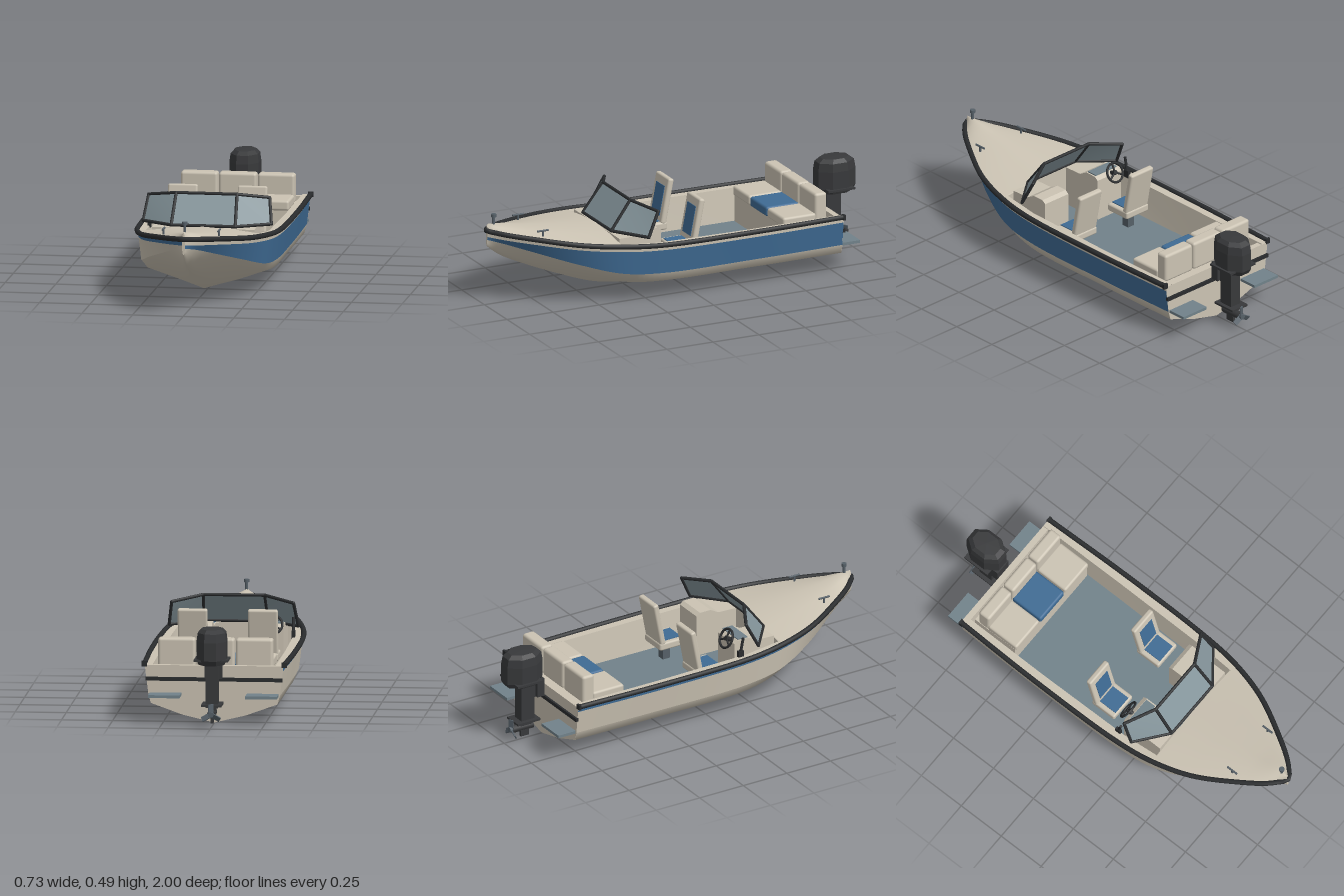
import * as THREE from 'three';
import { RoundedBoxGeometry } from 'three/addons/geometries/RoundedBoxGeometry.js';

const mat = (name, color, side = THREE.FrontSide) => {
  const m = new THREE.MeshStandardMaterial({ color, side });
  m.name = name;
  return m;
};
const V = (x, y, z) => new THREE.Vector3(x, y, z);
const flip = (line) => line.map((p) => V(-p.x, p.y, p.z));

export function createModel() {
  const cream = mat('cream', 0xcbc3b3, THREE.DoubleSide);
  const blue = mat('blue', 0x3f6b94, THREE.DoubleSide);
  const trim = mat('black trim', 0x2a2c2e);
  const motorGrey = mat('motor charcoal', 0x38393b);
  const deckGrey = mat('deck grey', 0x71828a);
  const glass = mat('glass', 0x84949a, THREE.DoubleSide);
  const metal = mat('metal', 0x566068);

  const boat = new THREE.Group();
  boat.name = 'boat';
  const add = (name, geometry, material, parent = boat) => {
    const mesh = new THREE.Mesh(geometry, material);
    mesh.name = name;
    parent.add(mesh);
    return mesh;
  };
  const box = (name, m, w, h, d, x, y, z, parent, r = 0) => {
    const g = r ? new RoundedBoxGeometry(w, h, d, 2, r) : new THREE.BoxGeometry(w, h, d);
    const mesh = add(name, g, m, parent);
    mesh.position.set(x, y, z);
    return mesh;
  };
  const rod = (name, m, a, b, r, parent, sides = 10) => {
    const mesh = add(name, new THREE.CylinderGeometry(r, r, a.distanceTo(b), sides), m, parent);
    mesh.position.copy(a).add(b).multiplyScalar(0.5);
    mesh.quaternion.setFromUnitVectors(V(0, 1, 0), b.clone().sub(a).normalize());
    return mesh;
  };
  // Skin stretched over lines that all have the same number of points
  const loft = (name, lines, m, parent) => {
    const n = lines[0].length, index = [];
    for (let i = 0; i < lines.length - 1; i++) {
      for (let j = 0; j < n - 1; j++) {
        const a = i * n + j, b = a + n;
        index.push(a, a + 1, b, b, a + 1, b + 1);
      }
    }
    const g = new THREE.BufferGeometry().setFromPoints(lines.flat());
    g.setIndex(index);
    g.computeVertexNormals();
    return add(name, g, m, parent);
  };

  // Hull lines, stern to bow
  const Z = [-0.785, -0.3, 0.2, 0.4, 0.6, 0.8, 0.92, 1.0];
  const hullCurve = (xs, ys) => new THREE.CatmullRomCurve3(Z.map((z, i) =>
    V(xs[i], ys[i], i === 7 ? z - 0.012 : z)));
  const sheer = hullCurve([.338, .349, .343, .32, .262, .155, .075, .008],
    [.28, .28, .284, .298, .317, .345, .362, .372]);
  const bandTop = hullCurve([.337, .348, .341, .317, .257, .15, .07, .008],
    [.257, .257, .262, .275, .295, .322, .338, .347]);
  const bandLow = hullCurve([.322, .331, .326, .302, .232, .123, .054, .007],
    [.137, .137, .14, .16, .214, .277, .315, .332]);
  const chine = hullCurve([.31, .312, .305, .265, .178, .082, .035, .006],
    [.093, .093, .097, .122, .175, .24, .285, .318]);
  const mid = hullCurve([.155, .16, .15, .12, .075, .035, .015, .005],
    [.037, .037, .042, .075, .135, .21, .265, .309]);
  const keel = hullCurve([0, 0, 0, 0, 0, 0, 0, 0], [0, 0, .003, .03, .1, .185, .245, .298]);
  const pts = (c) => c.getPoints(56);

  const hull = new THREE.Group();
  hull.name = 'hull';
  boat.add(hull);
  const low = [bandLow, chine, mid].map(pts);
  loft('hullBottom', [...low, pts(keel), ...low.map(flip).reverse()], cream, hull);
  loft('leftUpperStrake', [pts(sheer), pts(bandTop)], cream, hull);
  loft('leftStripe', [pts(bandTop), pts(bandLow)], blue, hull);
  loft('rightStripe', [flip(pts(sheer)), flip(pts(bandTop))], blue, hull);
  loft('rightSide', [flip(pts(bandTop)), flip(pts(bandLow))], cream, hull);
  const stem = [sheer, bandTop, bandLow, chine, mid, keel].map((c) => c.getPoint(1));
  loft('stem', [stem, flip(stem)], cream, hull);

  // Transom and rub rails
  const half = [sheer, bandTop, bandLow, chine, mid, keel].map((c) => c.getPoint(0));
  const outline = [...half, ...flip(half).reverse().slice(1)].map((p) => new THREE.Vector2(p.x, p.y));
  add('transom', new THREE.ExtrudeGeometry(new THREE.Shape(outline), { depth: 0.03, bevelEnabled: false }),
    cream, hull).position.z = -0.786;
  box('transomRail', trim, 0.67, 0.018, 0.014, 0, 0.213, -0.79, hull);
  const side = sheer.getPoints(28).map((p) => V(p.x + 0.004, p.y + 0.006, p.z));
  const railCurve = new THREE.CatmullRomCurve3([...side, ...flip(side).reverse()]);
  add('gunwaleRail', new THREE.TubeGeometry(railCurve, 140, 0.013, 8), trim, hull);
  for (const s of [1, -1]) box('railEnd', trim, 0.026, 0.026, 0.012, s * 0.342, 0.286, -0.783, hull);

  // Foredeck with a crowned centre line
  const foreEdge = [], foreMid = [], foreTop = [];
  const crown = new THREE.CatmullRomCurve3([V(0, .332, .395), V(0, .358, .6), V(0, .385, .8),
    V(0, .407, .92), V(0, .412, .985)]);
  for (let i = 0; i <= 28; i++) {
    const e = sheer.getPoint(3 / 7 + (4 / 7) * i / 28), c = crown.getPoint(i / 28);
    foreEdge.push(V(e.x, e.y + 0.004, e.z));
    foreTop.push(c);
    foreMid.push(V(e.x * 0.5, e.y + 0.004 + (c.y - e.y) * 0.6, (e.z + c.z) / 2));
  }
  loft('foredeck', [foreEdge, foreMid, foreTop, flip(foreMid), flip(foreEdge)], cream);

  // Cockpit: side decks, liner and floor
  const aft = [0, 1, 2, 3].map((i) => sheer.getPoint(i / 7));
  const deckEdge = aft.map((p) => V(p.x, p.y + 0.005, p.z));
  const wallTop = aft.map((p, i) => V([.3, .302, .298, .284][i], p.y + 0.005, p.z));
  const wallLow = aft.map((p, i) => V([.285, .285, .28, .245][i], 0.12, p.z));
  for (const f of [(l) => l, flip]) {
    loft('sideDeck', [f(deckEdge), f(wallTop)], cream);
    loft('cockpitWall', [f(wallTop), f(wallLow)], cream);
  }
  loft('floor', [flip(wallLow), wallLow], deckGrey);
  loft('bulkhead', [[V(-.284, .303, .396), V(-.245, .12, .396)], [V(0, .332, .396), V(0, .12, .396)],
    [V(.284, .303, .396), V(.245, .12, .396)]], cream);

  // Rear bench
  const bench = new THREE.Group();
  bench.name = 'rearBench';
  boat.add(bench);
  box('benchBase', cream, 0.56, 0.14, 0.25, 0, 0.19, -0.62, bench);
  for (const i of [-1, 0, 1]) {
    const w = i ? 0.182 : 0.186;
    box('benchCushion', i ? cream : blue, w, 0.05, 0.18, i * 0.19, 0.28, -0.575, bench, 0.012);
    box('benchBack', cream, w, 0.145, 0.066, i * 0.19, 0.332, -0.69, bench, 0.014);
  }

  // Pedestal seats and consoles
  for (const s of [1, -1]) {
    const seat = new THREE.Group();
    seat.name = s > 0 ? 'leftSeat' : 'rightSeat';
    seat.position.set(s * 0.172, 0, 0);
    boat.add(seat);
    box('seatPedestal', metal, 0.04, 0.08, 0.04, 0, 0.16, 0.025, seat);
    box('seatCushion', cream, 0.146, 0.04, 0.14, 0, 0.218, 0.027, seat, 0.01);
    box('cushionPanel', blue, 0.1, 0.006, 0.105, 0, 0.239, 0.035, seat);
    const back = new THREE.Group();
    back.name = 'seatBack';
    back.position.set(0, 0.342, -0.044);
    back.rotation.x = -0.19;
    seat.add(back);
    box('backCushion', cream, 0.146, 0.23, 0.03, 0, 0, 0, back, 0.01);
    box('backPanel', blue, 0.09, 0.15, 0.006, 0, -0.005, 0.015, back);

    const profile = new THREE.Shape([[-.165, .12], [-.165, .335], [-.185, .35], [-.245, .35], [-.29, .325],
      [-.39, .322], [-.39, .12]].map(([x, y]) => new THREE.Vector2(x, y)));
    const console = add(s > 0 ? 'leftConsole' : 'helmConsole',
      new THREE.ExtrudeGeometry(profile, { depth: 0.155, bevelEnabled: false }), cream);
    console.rotation.y = Math.PI / 2;
    console.position.x = s > 0 ? 0.098 : -0.253;
  }
  box('dashPanel', deckGrey, 0.14, 0.006, 0.055, -0.176, 0.352, 0.215);

  // Steering wheel and throttle
  const wheel = new THREE.Group();
  wheel.name = 'steeringWheel';
  wheel.position.set(-0.2, 0.35, 0.15);
  wheel.rotation.x = 0.48;
  boat.add(wheel);
  add('wheelRim', new THREE.TorusGeometry(0.048, 0.006, 8, 28), trim, wheel);
  for (let i = 0; i < 3; i++) {
    const a = Math.PI / 2 + i * Math.PI * 2 / 3;
    rod('wheelSpoke', trim, V(0, 0, 0), V(Math.cos(a) * 0.048, Math.sin(a) * 0.048, 0), 0.005, wheel);
  }
  rod('wheelColumn', trim, V(0, 0, -0.006), V(0, 0, 0.05), 0.012, wheel);
  box('throttleBase', trim, 0.016, 0.04, 0.03, -0.3, 0.3, 0.17);
  rod('throttleLever', trim, V(-0.3, 0.31, 0.17), V(-0.3, 0.385, 0.185), 0.007);

  // Three-panel windshield
  const screen = new THREE.Group();
  screen.name = 'windshield';
  boat.add(screen);
  const bottom = [V(-.316, .33, .262), V(-.158, .335, .388), V(.158, .335, .388), V(.316, .33, .262)];
  const top = [V(-.298, .45, .203), V(-.15, .476, .282), V(.15, .476, .282), V(.298, .45, .203)];
  for (let i = 0; i < 4; i++) {
    rod('screenPost', trim, bottom[i], top[i], 0.008, screen);
    for (const p of [bottom[i], top[i]]) {
      add('frameCorner', new THREE.SphereGeometry(0.008, 10, 8), trim, screen).position.copy(p);
    }
    if (i === 3) break;
    loft('screenGlass', [[bottom[i], bottom[i + 1]], [top[i], top[i + 1]]], glass, screen);
    rod('screenSill', trim, bottom[i], bottom[i + 1], 0.008, screen);
    rod('screenHeader', trim, top[i], top[i + 1], 0.008, screen);
  }

  // Bow light and cleats
  rod('bowLightPost', metal, V(0, 0.405, 0.95), V(0, 0.445, 0.95), 0.007);
  rod('bowLightHead', metal, V(0, 0.443, 0.95), V(0, 0.458, 0.95), 0.013, boat, 14);
  for (const s of [1, -1]) {
    rod('cleatPost', metal, V(s * 0.137, 0.355, 0.75), V(s * 0.137, 0.382, 0.75), 0.005);
    rod('cleatBar', metal, V(s * 0.137, 0.383, 0.72), V(s * 0.137, 0.383, 0.78), 0.005);
    // Swim platforms
    box('swimPlatform', deckGrey, 0.155, 0.014, 0.1, s * 0.238, 0.138, -0.835);
  }

  // Outboard motor
  const motor = new THREE.Group();
  motor.name = 'outboardMotor';
  boat.add(motor);
  const cowlProfile = [[0, .305], [.86, .305], [1, .33], [1, .42], [.93, .462], [.7, .48], [0, .482]]
    .map(([r, y]) => new THREE.Vector2(r, y));
  const cowlGeo = new THREE.LatheGeometry(cowlProfile, 8, Math.PI / 8).toNonIndexed();
  cowlGeo.scale(0.078, 1, 0.109);
  cowlGeo.computeVertexNormals();
  add('cowl', cowlGeo, motorGrey, motor).position.z = -0.899;
  box('cowlRim', motorGrey, 0.168, 0.01, 0.145, 0, 0.328, -0.9, motor);
  box('midsection', motorGrey, 0.06, 0.22, 0.076, 0, 0.2, -0.882, motor);
  box('mountBracket', motorGrey, 0.085, 0.095, 0.04, 0, 0.27, -0.815, motor);
  box('swivel', motorGrey, 0.05, 0.06, 0.06, 0, 0.25, -0.835, motor);
  box('cavitationPlate', motorGrey, 0.1, 0.01, 0.13, 0, 0.104, -0.887, motor);
  box('lowerLeg', motorGrey, 0.034, 0.06, 0.07, 0, 0.08, -0.882, motor);
  rod('gearcase', motorGrey, V(0, 0.064, -0.84), V(0, 0.064, -0.955), 0.02, motor, 12);
  box('skeg', motorGrey, 0.014, 0.045, 0.046, 0, 0.036, -0.885, motor);
  rod('propellerHub', metal, V(0, 0.064, -0.95), V(0, 0.064, -0.972), 0.014, motor, 12);
  for (let i = 0; i < 3; i++) {
    const arm = new THREE.Group();
    arm.name = 'propellerBlade';
    arm.position.set(0, 0.064, -0.961);
    arm.rotation.z = i * Math.PI * 2 / 3;
    motor.add(arm);
    box('blade', metal, 0.026, 0.042, 0.006, 0, 0.03, 0, arm).rotation.y = 0.5;
  }
  return boat;
}
